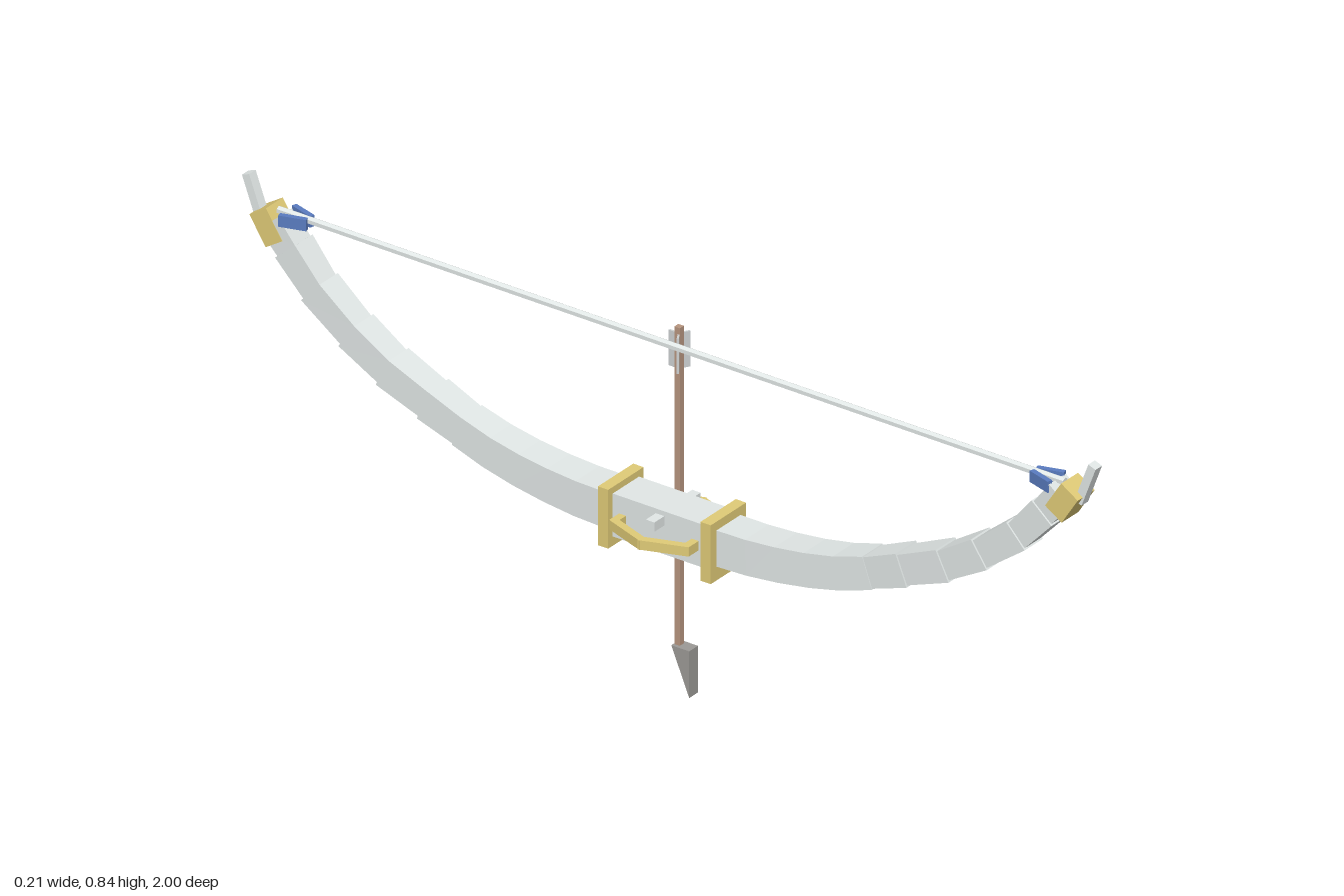
import * as THREE from 'three';

const mat = (name, color, opts = {}) => {
  const m = new THREE.MeshStandardMaterial({ color, ...opts });
  m.name = name;
  return m;
};

export function createModel() {
  const steel = mat('pale steel', 0xe2e8e7, { flatShading: true });
  const iron = mat('dark iron', 0x9c9a96, { flatShading: true });
  const gold = mat('gold', 0xe0cb77, { flatShading: true });
  const blue = mat('blue wrap', 0x5a7cc0, { flatShading: true });
  const wood = mat('brown wood', 0xb89680, { flatShading: true });
  const feather = mat('grey feather', 0xcdd1d2, { side: THREE.DoubleSide });

  const model = new THREE.Group();
  model.name = 'bow and arrow';

  const add = (parent, name, geo, material, x = 0, y = 0, z = 0, rx = 0) => {
    const mesh = new THREE.Mesh(geo, material);
    mesh.name = name;
    mesh.position.set(x, y, z);
    mesh.rotation.x = rx;
    parent.add(mesh);
    return mesh;
  };
  const box = (w, h, d) => new THREE.BoxGeometry(w, h, d);

  // Horizontal bar between two [x, z] points
  const addBar = (parent, name, [x0, z0], [x1, z1], y, w, h, material, extra = 0) => {
    const bar = add(parent, name, box(w, h, Math.hypot(x1 - x0, z1 - z0) + extra), material,
      (x0 + x1) / 2, y, (z0 + z1) / 2);
    bar.rotation.y = Math.atan2(x1 - x0, z1 - z0);
  };

  // Tapered block between two stations [z, y, tilt, half width, half thickness]
  const taperedBlock = (a, b) => {
    const geo = box(2, 2, 2);
    const p = geo.attributes.position;
    for (let i = 0; i < p.count; i++) {
      const [z, y, tilt, w, t] = p.getZ(i) > 0 ? b : a;
      const s = p.getY(i) * t;
      p.setXYZ(i, p.getX(i) * w, y + Math.cos(tilt) * s, z - Math.sin(tilt) * s);
    }
    geo.computeVertexNormals();
    return geo;
  };

  // Limb: segments along a rising curve, each stepping in slightly from the last
  const path = [[0.10, 0.402], [0.20, 0.404], [0.27, 0.41], [0.34, 0.42], [0.41, 0.435],
    [0.48, 0.457], [0.56, 0.488], [0.655, 0.527], [0.74, 0.578], [0.825, 0.644], [0.885, 0.712], [0.925, 0.76]];
  const last = path.length - 1;
  const station = (i, step) => {
    const [z0, y0] = path[Math.max(0, i - 1)], [z1, y1] = path[Math.min(last, i + 1)];
    const k = i / last;
    return [...path[i], Math.atan2(y1 - y0, z1 - z0),
      0.039 - 0.014 * k + step, 0.039 - 0.011 * k + step];
  };

  const buildLimb = (name) => {
    const limb = new THREE.Group();
    limb.name = name;
    for (let i = 0; i < last; i++) {
      const step = i > 4 ? 0.0018 : 0;
      add(limb, 'limbSegment', taperedBlock(station(i, -step), station(i + 1, step)), steel);
    }
    add(limb, 'tipCap', box(0.054, 0.046, 0.07), gold, 0, 0.748, 0.931, -1.0);
    add(limb, 'nock', box(0.021, 0.093, 0.018), steel, 0, 0.793, 0.974, 0.36);
    // Two strips of wrap closing onto the string
    for (const side of [1, -1]) {
      addBar(limb, 'stringWrap', [side * 0.024, 0.902], [side * 0.008, 0.848], 0.773, 0.011, 0.024, blue);
    }
    // Collar at the end of the grip
    add(limb, 'gripCollar', box(0.113, 0.126, 0.024), gold, 0, 0.397, 0.12);
    return limb;
  };
  const front = buildLimb('frontLimb');
  const back = buildLimb('backLimb');
  back.rotation.y = Math.PI;
  model.add(front, back);

  // Grip
  add(model, 'grip', box(0.084, 0.092, 0.24), steel, 0, 0.4, 0);
  add(model, 'gripPin', box(0.148, 0.02, 0.02), steel, 0, 0.426, 0.003);
  add(model, 'arrowRest', box(0.026, 0.065, 0.052), gold, 0.051, 0.368, -0.033);

  // Angular guards on both sides of the grip
  const guardPath = [[0.045, -0.085], [0.068, -0.085], [0.098, 0], [0.068, 0.085], [0.045, 0.085]];
  for (const side of [1, -1]) {
    const guard = new THREE.Group();
    guard.name = side > 0 ? 'leftGuard' : 'rightGuard';
    const points = guardPath.map(([x, z]) => [side * x, z]);
    for (let i = 0; i < points.length - 1; i++) {
      addBar(guard, 'guardBar', points[i], points[i + 1], 0.398, 0.016, 0.02, gold, 0.01);
    }
    model.add(guard);
  }

  // Bowstring
  add(model, 'bowstring', new THREE.CylinderGeometry(0.008, 0.008, 1.84, 6), steel, 0, 0.779, 0, Math.PI / 2);

  // Arrow, pointing down
  const arrow = new THREE.Group();
  arrow.name = 'arrow';
  arrow.position.set(0.069, 0, -0.034);
  add(arrow, 'shaft', box(0.013, 0.69, 0.013), wood, 0, 0.435, 0);
  // Three vanes spread evenly around the shaft
  for (let i = 0; i < 3; i++) {
    const vaneGeo = box(0.004, 0.076, 0.023);
    vaneGeo.translate(0, 0, -0.0115);
    const vane = add(arrow, 'fletching', vaneGeo, feather, 0, 0.728, 0);
    vane.rotation.y = i * Math.PI * 2 / 3;
  }
  // Wedge-shaped arrowhead
  const wedge = new THREE.Shape([[0.034, 0.0], [0.034, 0.1], [-0.008, 0.1]].map(([z, y]) => new THREE.Vector2(-z, y)));
  const headGeo = new THREE.ExtrudeGeometry(wedge, { depth: 0.028, bevelEnabled: false });
  headGeo.translate(0, 0, -0.014);
  headGeo.rotateY(Math.PI / 2);
  add(arrow, 'arrowhead', headGeo, iron);
  model.add(arrow);

  return model;
}
